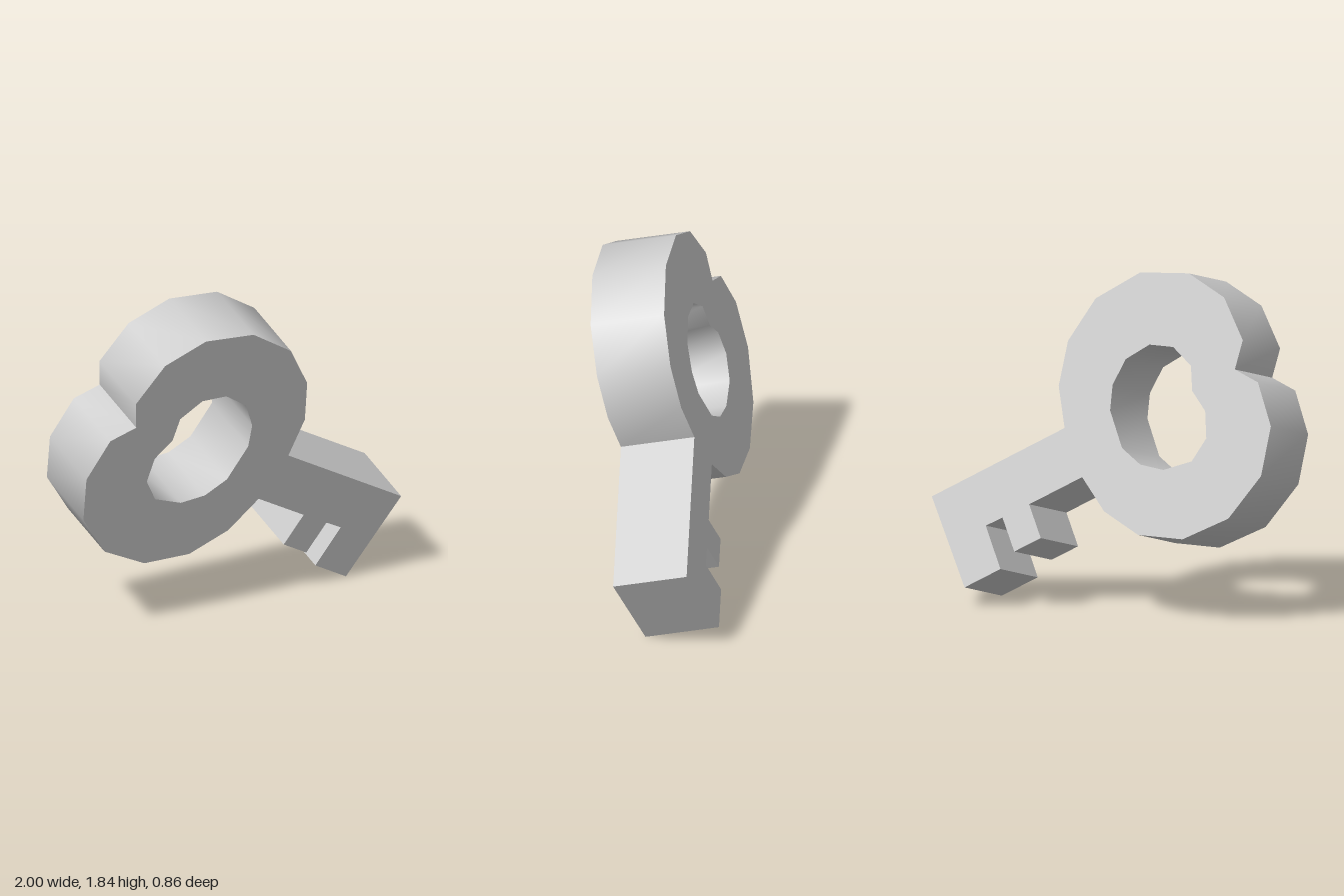
import * as THREE from 'three';
import { toCreasedNormals } from 'three/addons/utils/BufferGeometryUtils.js';

const TILT = Math.PI / 12; // the key leans forward by 15 degrees
const DEPTH = 0.414;

// Upright heights become lengths along the leaning plane
const toPlane = (points) => points.map(([x, y]) => new THREE.Vector2(x, y / Math.cos(TILT)));

// Cleft heart-like bow, clockwise from the cleft to the shank
const bowUpper = [
  [-0.737, 1.264], [-0.762, 1.418], [-0.615, 1.628], [-0.382, 1.733], [-0.088, 1.713],
  [0.163, 1.556], [0.297, 1.324], [0.318, 1.088],
];
// Shank with two notches that form the teeth
const shank = [
  [0.249, 0.875], [1, 0.455], [0.73, 0.005], [0.527, 0.118], [0.65, 0.333], [0.555, 0.383],
  [0.457, 0.215], [0.307, 0.298], [0.404, 0.465], [0.104, 0.632],
];
// Rest of the bow, back up to the cleft
const bowLower = [
  [-0.056, 0.468], [-0.28, 0.365], [-0.553, 0.365], [-0.815, 0.495],
  [-0.98, 0.731], [-1, 0.991], [-0.887, 1.21],
];
// Opening in the bow, counterclockwise so that its walls face inwards
const opening = [
  [-0.468, 1.26], [-0.495, 1.132], [-0.59, 1.035], [-0.618, 0.896], [-0.548, 0.77],
  [-0.382, 0.711], [-0.238, 0.727], [-0.115, 0.802], [-0.013, 0.989], [-0.008, 1.121],
  [-0.067, 1.26], [-0.2, 1.347], [-0.345, 1.347],
];

export function createModel() {
  const steel = new THREE.MeshStandardMaterial({ color: 0xcccccc });
  steel.name = 'steel grey';

  const outline = new THREE.Shape(toPlane([...bowUpper, ...shank, ...bowLower]));
  outline.holes.push(new THREE.Path(toPlane(opening)));

  // Extrude backwards from the front face; rounded walls smooth, corners sharp
  const solid = new THREE.ExtrudeGeometry(outline, { depth: DEPTH, bevelEnabled: false });
  solid.translate(0, 0, -DEPTH);
  const keyBody = new THREE.Mesh(toCreasedNormals(solid, 0.85), steel);
  keyBody.name = 'keyBody';
  keyBody.rotation.x = TILT;
  keyBody.position.set(0, -0.005, -0.031);

  const key = new THREE.Group();
  key.name = 'key';
  key.add(keyBody);
  return key;
}
